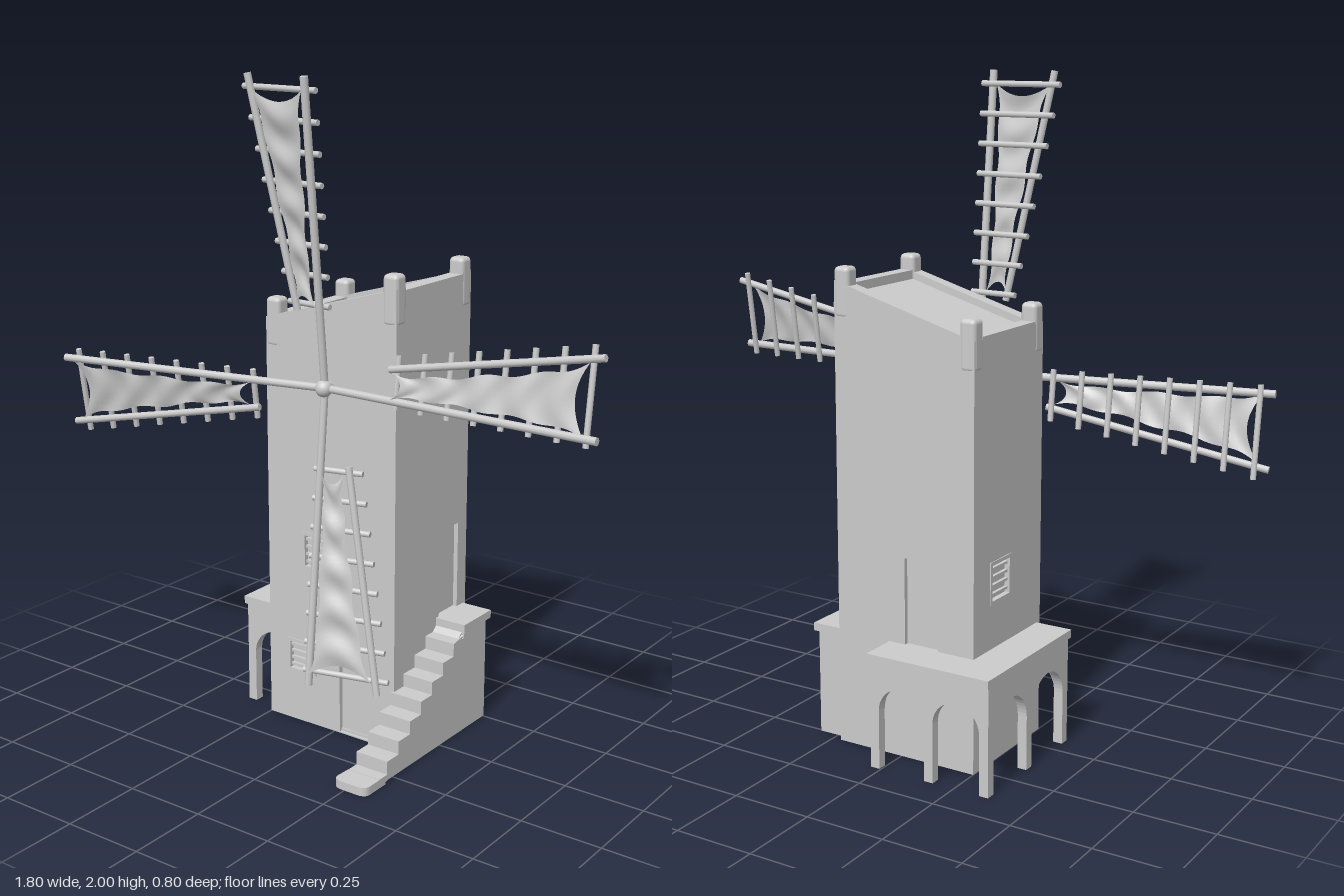
import * as THREE from 'three';
import { RoundedBoxGeometry } from 'three/addons/geometries/RoundedBoxGeometry.js';

const grey = new THREE.MeshStandardMaterial({ color: 0xcccccc, side: THREE.DoubleSide });
const HALF = Math.PI / 2;

function add(parent, name, geometry, x = 0, y = 0, z = 0, ry = 0) {
  const mesh = new THREE.Mesh(geometry, grey);
  mesh.name = name;
  mesh.position.set(x, y, z);
  mesh.rotation.y = ry;
  parent.add(mesh);
  return mesh;
}
function group(parent, name, x = 0, y = 0, z = 0, ry = 0) {
  const g = new THREE.Group();
  g.name = name;
  g.position.set(x, y, z);
  g.rotation.y = ry;
  parent.add(g);
  return g;
}
const polygon = (pts) => new THREE.Shape(pts.map(([x, y]) => new THREE.Vector2(x, y)));
const extrude = (shape, depth) =>
  new THREE.ExtrudeGeometry(shape, { depth, bevelEnabled: false, curveSegments: 12 });
// box given by its limits on each axis
function block(parent, name, x0, x1, y0, y1, z0, z1) {
  return add(parent, name, new THREE.BoxGeometry(x1 - x0, y1 - y0, z1 - z0),
    (x0 + x1) / 2, (y0 + y1) / 2, (z0 + z1) / 2);
}
// round bar between two points
function bar(parent, name, a, b, r) {
  const d = b.clone().sub(a);
  const m = add(parent, name, new THREE.CylinderGeometry(r, r, d.length(), 8));
  m.position.copy(a).addScaledVector(d, 0.5);
  m.quaternion.setFromUnitVectors(new THREE.Vector3(0, 1, 0), d.normalize());
}

// wall with its outer face on local z = 0 and recessed doors and windows
function wall(parent, name, outline, openings, x, z, ry) {
  const g = group(parent, name, x, 0, z, ry);
  const shape = polygon(outline);
  for (const [kind, x0, x1, y0, y1] of openings) {
    shape.holes.push(polygon([[x0, y0], [x0, y1], [x1, y1], [x1, y0]]));
    block(g, kind, x0 - 0.002, x1 + 0.002, y0, y1 + 0.002, -0.035, -0.014);
    if (kind === 'door') continue;
    const t = 0.011, f = 0.003;
    for (const s of [x0, x1 - t]) block(g, 'windowFrame', s, s + t, y0, y1, -0.02, f);
    for (const s of [y0, y1 - t]) block(g, 'windowFrame', x0, x1, s, s + t, -0.02, f);
    for (let i = 1; i < 5; i++) {
      const y = y0 + (y1 - y0) * i / 5;
      block(g, 'windowSlat', x0 + t, x1 - t, y - 0.004, y + 0.004, -0.02, -0.004);
    }
  }
  add(g, name + 'Panel', extrude(shape, 0.045), 0, 0, -0.045);
}

function buildTower(root) {
  const g = group(root, 'tower');
  wall(g, 'frontWall', [[-0.25, 0], [0.222, 0], [0.222, 1.415], [-0.25, 1.28]], [
    ['window', -0.12, 0.02, 0.51, 0.63], ['window', -0.18, -0.07, 0.16, 0.27],
    ['door', 0.02, 0.14, 0.004, 0.3]], 0, 0.11, 0);
  wall(g, 'backWall', [[-0.222, 0], [0.25, 0], [0.25, 1.28], [-0.222, 1.415]],
    [['door', 0.015, 0.13, 0.355, 0.62]], 0, -0.28, Math.PI);
  wall(g, 'leftWall', [[-0.065, 0], [0.235, 0], [0.235, 1.407], [-0.065, 1.407]],
    [['door', 0.13, 0.232, 0.355, 0.63]], 0.222, 0, HALF);
  wall(g, 'rightWall', [[-0.235, 0], [0.065, 0], [0.065, 1.287], [-0.235, 1.287]],
    [['window', -0.19, -0.07, 0.49, 0.62]], -0.25, 0, -HALF);
  block(g, 'floor', -0.24, 0.212, 0.002, 0.012, -0.27, 0.1);
  // sloping roof sunk behind the parapet
  const roof = add(g, 'roof', new THREE.BoxGeometry(0.42, 0.02, 0.33), -0.014, 1.315, -0.085);
  roof.rotation.z = Math.atan2(0.135, 0.472);
  // corner posts
  for (const [x, top] of [[-0.226, 1.34], [0.198, 1.455]])
    for (const z of [0.086, -0.256])
      add(g, 'cornerPost', new RoundedBoxGeometry(0.052, 0.15, 0.052, 3, 0.014), x, top - 0.075, z);
}

// arcade wall with evenly spaced round arches
function arcade(length, bays) {
  const leg = 0.03, span = (length - leg * (bays + 1)) / bays, r = span / 2;
  const s = new THREE.Shape().moveTo(0, 0.335).lineTo(0, 0);
  for (let i = 0; i < bays; i++) {
    const x = leg + i * (span + leg);
    s.lineTo(x, 0).lineTo(x, 0.26 - r);
    s.absarc(x + r, 0.26 - r, r, Math.PI, 0, true);
    s.lineTo(x + span, 0);
  }
  return extrude(s.lineTo(length, 0).lineTo(length, 0.335), 0.03);
}
// half arch running from a leg into the tower wall
function halfArch() {
  const s = new THREE.Shape().moveTo(0, 0.335).lineTo(0, 0).lineTo(0.03, 0).lineTo(0.03, 0.17);
  s.absellipse(0.12, 0.17, 0.09, 0.085, Math.PI, HALF, true);
  return extrude(s.lineTo(0.12, 0.335), 0.03);
}

function buildTerrace(root) {
  const g = group(root, 'terrace');
  block(g, 'backDeck', -0.37, 0.04, 0.33, 0.355, -0.4, -0.278);
  block(g, 'sideDeck', -0.37, -0.248, 0.33, 0.355, -0.278, 0.09);
  add(g, 'backArcade', arcade(0.4, 2), -0.365, 0, -0.39);
  add(g, 'sideArcade', arcade(0.47, 2), -0.335, 0, -0.39, -HALF);
  add(g, 'frontHalfArch', halfArch(), -0.365, 0, 0.05);
  add(g, 'endHalfArch', halfArch(), 0.035, 0, -0.39, -HALF);
}

function buildStair(root) {
  const g = group(root, 'stair');
  // stepped flight, drawn in z and y
  const flight = new THREE.Shape().moveTo(-0.268, 0.33).lineTo(-0.268, 0.355);
  for (let i = 0; i < 8; i++) {
    const z = -0.115 + i * 0.058, y = 0.355 - i * 0.041;
    flight.lineTo(z, y).lineTo(z, y - 0.041);
  }
  flight.lineTo(0.33, 0.027).lineTo(0.33, 0);
  flight.quadraticCurveTo(0.25, 0.01, 0.2, 0.06).lineTo(-0.06, 0.27);
  flight.quadraticCurveTo(-0.1, 0.325, -0.14, 0.33);
  add(g, 'steps', extrude(flight, 0.11), 0.325, 0, 0, -HALF);
  const side = polygon([[-0.255, 0], [0.3, 0], [0.2, 0.065], [-0.06, 0.275], [-0.12, 0.335], [-0.255, 0.335]]);
  add(g, 'stairWall', extrude(side, 0.095), 0.315, 0, 0, -HALF);
  // rounded bottom step
  const foot = new THREE.Shape().moveTo(0.215, 0.3).lineTo(0.21, 0.375).quadraticCurveTo(0.21, 0.4, 0.24, 0.4);
  foot.lineTo(0.295, 0.4).quadraticCurveTo(0.325, 0.4, 0.325, 0.375).lineTo(0.325, 0.3);
  add(g, 'bottomStep', extrude(foot, 0.026), 0, 0.026, 0).rotation.x = HALF;
}

// point on a sail: distance r along the spar, offset x sideways, lift in front
const sailPoint = (r, x, lift = 0) => new THREE.Vector3(x, r, 0.11 * r - 0.18 * Math.abs(x) + lift);
const stileX = (r) => -0.088 - (r - 0.23) * 0.19;

// billowing cloth with hollow edges
function clothGeometry() {
  const nu = 40, nv = 10;
  const geo = new THREE.PlaneGeometry(1, 1, nv, nu), p = geo.attributes.position;
  for (let i = 0; i < p.count; i++) {
    const v = p.getX(i) + 0.5, u = p.getY(i) + 0.5;
    const hollow = 1 - (2 * v - 1) ** 2, end = Math.abs(2 * u - 1) ** 6;
    const r = 0.55 + (u - 0.5) * (0.62 - 0.07 * hollow);
    const inset = 0.008 + 0.022 * (1 - end) + 0.005 * Math.sin(u * 22) * (1 - end);
    const x0 = stileX(r) + inset, x1 = -inset * 0.8;
    const lift = 0.012 + 0.008 * hollow * Math.sin(u * 28 + v * 2);
    const q = sailPoint(r, x0 + (x1 - x0) * v, lift);
    p.setXYZ(i, q.x, q.y, q.z);
  }
  geo.computeVertexNormals();
  return geo;
}

function buildRotor(root) {
  const rotor = group(root, 'rotor', -0.013, 1.1, 0.135, 0.08);
  add(rotor, 'hub', new THREE.SphereGeometry(0.026, 20, 14), 0, 0, 0.005);
  bar(rotor, 'axle', new THREE.Vector3(0, 0, -0.06), new THREE.Vector3(0, 0, 0), 0.018);
  const cloth = clothGeometry();
  for (let k = 0; k < 4; k++) {
    const sail = group(rotor, 'sail');
    sail.rotation.z = k * HALF;
    bar(sail, 'spar', sailPoint(0, 0), sailPoint(0.9, 0), 0.012);
    bar(sail, 'stile', sailPoint(0.225, stileX(0.225)), sailPoint(0.9, stileX(0.9)), 0.011);
    for (let i = 0; i < 8; i++) {
      const r = 0.245 + i * 0.088;
      bar(sail, 'rung', sailPoint(r, 0.028, -0.008), sailPoint(r, stileX(r) - 0.035, -0.012), 0.009);
    }
    add(sail, 'cloth', cloth);
  }
}

export function createModel() {
  const root = new THREE.Group();
  root.name = 'windmill';
  buildTower(root);
  buildTerrace(root);
  buildStair(root);
  buildRotor(root);
  return root;
}
